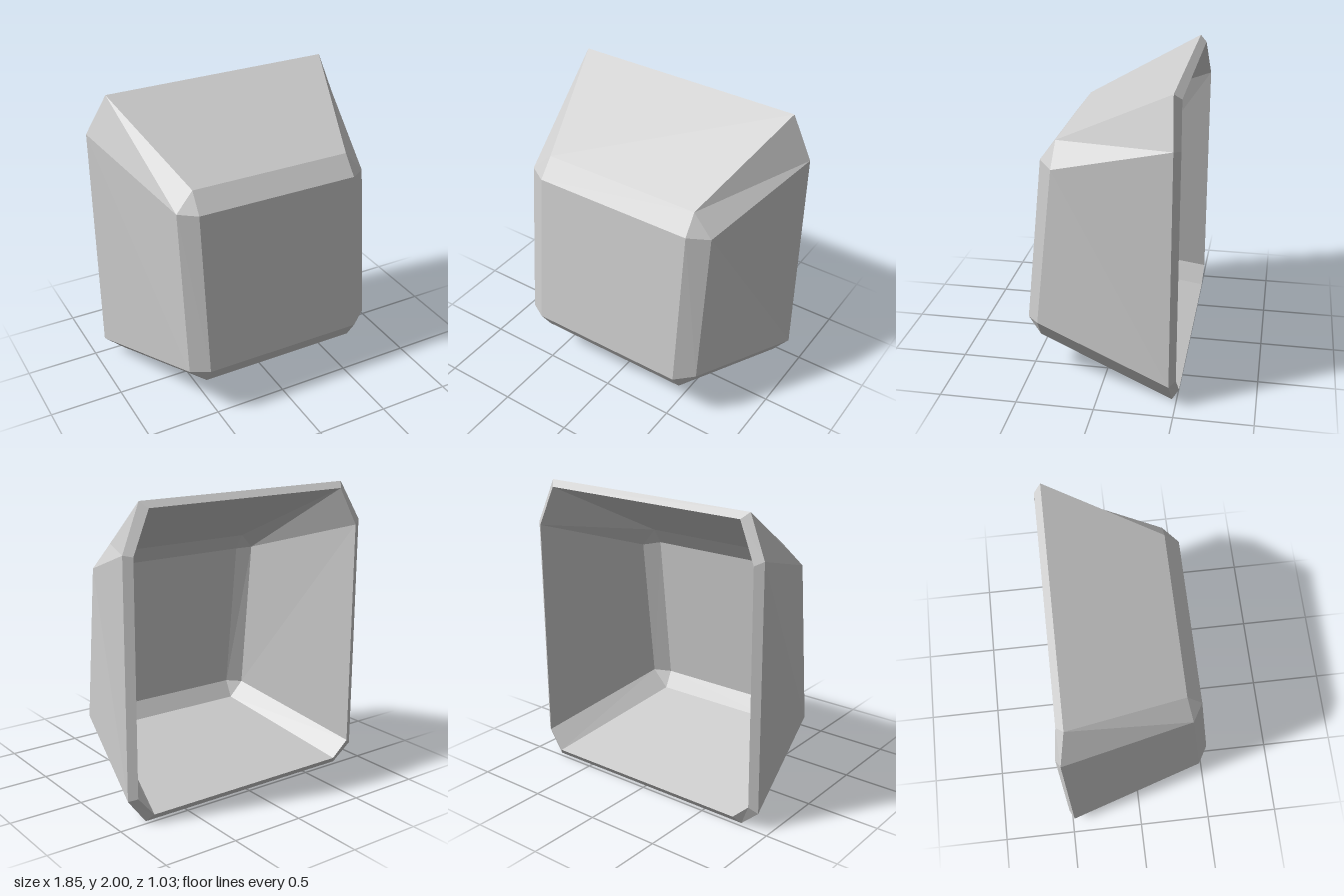
import * as THREE from 'three';

// Rings run counter-clockwise seen from the front, starting at the top edge's +x end.
const outerBack = [
  [0.79, 2, -0.44], [-0.79, 2, -0.44], [-0.925, 1.74, -0.485], [-0.925, 0.12, -0.485],
  [-0.79, 0, -0.47], [0.8, 0, -0.47], [0.92, 0.16, -0.46], [0.92, 1.7, -0.46],
];
const outerFront = [
  [0.55, 1.61, 0.31], [-0.55, 1.61, 0.31], [-0.675, 1.49, 0.34], [-0.675, 0.37, 0.45],
  [-0.55, 0.25, 0.44], [0.555, 0.25, 0.44], [0.68, 0.4, 0.43], [0.68, 1.46, 0.315],
];
const outerFace = [[0.555, 1.48, 0.41], [-0.555, 1.48, 0.41], [-0.555, 0.375, 0.52], [0.555, 0.375, 0.52]];

const innerBack = [
  [0.75, 1.96, -0.485], [-0.75, 1.96, -0.485], [-0.87, 1.71, -0.515], [-0.87, 0.16, -0.515],
  [-0.75, 0.05, -0.51], [0.76, 0.05, -0.51], [0.87, 0.18, -0.5], [0.87, 1.69, -0.5],
];
const innerFront = [
  [0.52, 1.56, 0.27], [-0.52, 1.56, 0.27], [-0.63, 1.46, 0.3], [-0.63, 0.4, 0.4],
  [-0.52, 0.3, 0.39], [0.52, 0.3, 0.39], [0.635, 0.42, 0.39], [0.635, 1.43, 0.28],
];
const innerFace = [[0.53, 1.45, 0.35], [-0.53, 1.45, 0.35], [-0.53, 0.41, 0.46], [0.53, 0.41, 0.46]];

// Spread four face corners over the eight ring points, so chamfer corners become triangles
const spread = (f) => [0, 1, 1, 2, 2, 3, 3, 0].map((i) => f[i]);

// Triangles joining a back ring to a front ring
function band(a, b) {
  const tris = [];
  a.forEach((p, i) => {
    const j = (i + 1) % a.length;
    tris.push([p, a[j], b[j]]);
    if (b[i] !== b[j]) tris.push([p, b[j], b[i]]);
  });
  return tris;
}

// Tapered walls, front bevel and front panel
function cup(back, front, face) {
  return [
    ...band(back, front), ...band(front, spread(face)),
    [face[0], face[1], face[2]], [face[0], face[2], face[3]],
  ];
}

function part(name, tris) {
  const geometry = new THREE.BufferGeometry();
  geometry.setAttribute('position', new THREE.Float32BufferAttribute(tris.flat(2), 3));
  geometry.computeVertexNormals();
  const mesh = new THREE.Mesh(geometry, new THREE.MeshStandardMaterial({ color: 0xcccccc, flatShading: true }));
  mesh.name = name;
  return mesh;
}

export function createModel() {
  const model = new THREE.Group();
  model.name = 'hollowCap';
  model.add(
    part('outerShell', cup(outerBack, outerFront, outerFace)),
    part('backRim', band(innerBack, outerBack)),
    // The cavity is wound the other way so it shows from inside
    part('innerShell', cup(innerBack, innerFront, innerFace).map(([a, b, c]) => [a, c, b])),
  );
  return model;
}
